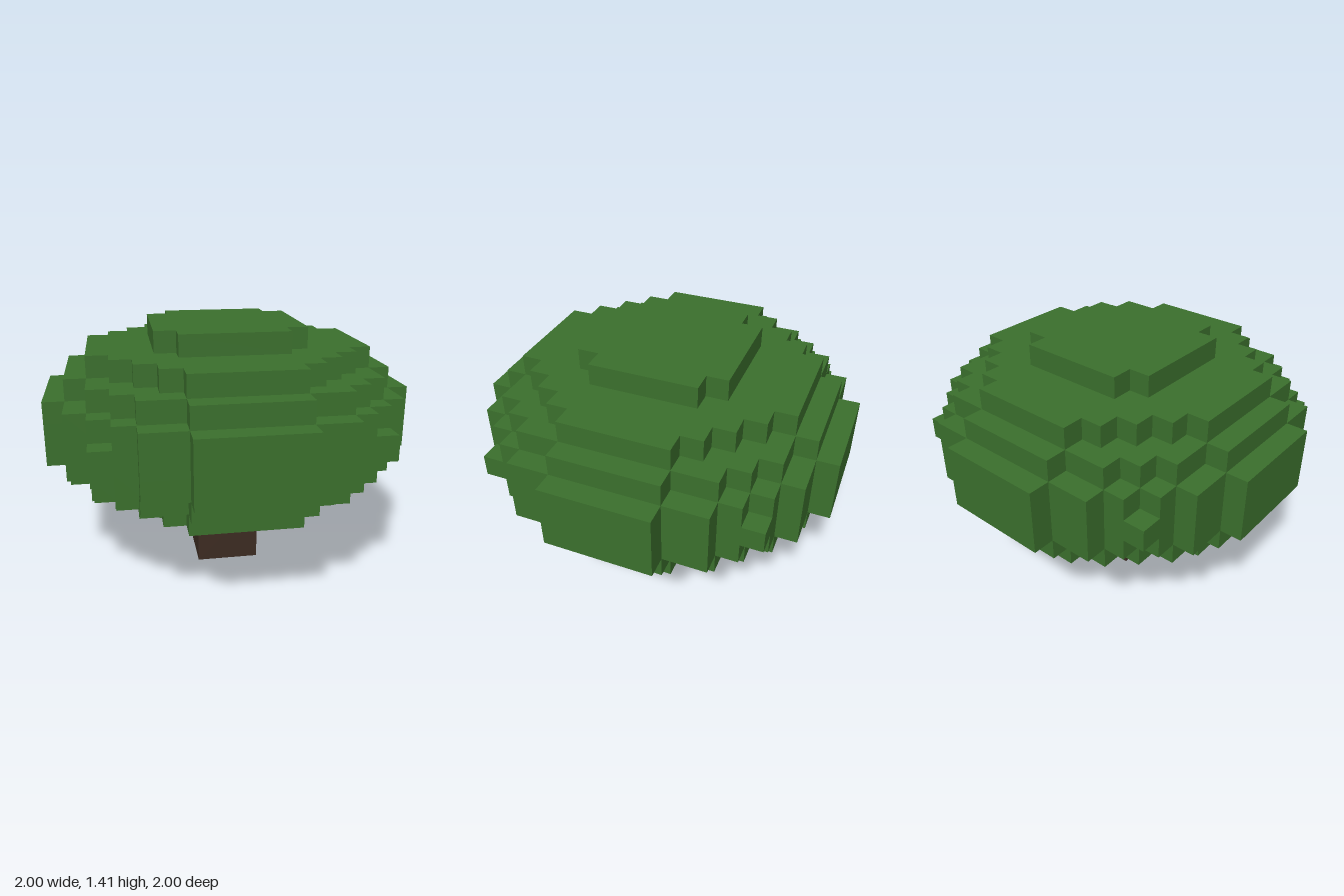
import * as THREE from 'three';

const V = 2 / 17;        // edge of one block
const RADIUS = 8.5;      // crown half width, in blocks
const HALF_HEIGHT = 4.5; // crown half height, in blocks
const TRUNK = 3;         // trunk width and height, in blocks

// Stepped outline of all blocks whose centres lie within the squared radius
function steppedOutline(limit) {
  const rows = Math.floor(Math.sqrt(limit));
  const side = [];
  for (let k = -rows; k <= rows; k++) {
    const w = (Math.floor(Math.sqrt(limit - k * k)) + 0.5) * V;
    const last = side[side.length - 1];
    if (last && last.x === w) last.y = (k + 0.5) * V; // lengthen a straight run
    else side.push(new THREE.Vector2(w, (k - 0.5) * V), new THREE.Vector2(w, (k + 0.5) * V));
  }
  const mirrored = side.map((p) => new THREE.Vector2(-p.x, p.y)).reverse();
  return new THREE.Shape([...side, ...mirrored]);
}

export function createModel() {
  const leafGreen = new THREE.MeshStandardMaterial({ color: 0x3b702d });
  leafGreen.name = 'leafGreen';
  const barkBrown = new THREE.MeshStandardMaterial({ color: 0x3d2c22 });
  barkBrown.name = 'barkBrown';

  const tree = new THREE.Group();
  tree.name = 'tree';

  // Trunk
  const trunk = new THREE.Mesh(new THREE.BoxGeometry(TRUNK * V, TRUNK * V, TRUNK * V), barkBrown);
  trunk.name = 'trunk';
  trunk.position.y = (TRUNK * V) / 2;
  tree.add(trunk);

  // Crown: one-block slices of a flattened sphere
  const crown = new THREE.Group();
  crown.name = 'crown';
  crown.position.y = (TRUNK + HALF_HEIGHT) * V;
  for (let j = -4; j <= 4; j++) {
    const limit = RADIUS ** 2 * (1 - (j / HALF_HEIGHT) ** 2);
    const geometry = new THREE.ExtrudeGeometry(steppedOutline(limit), { depth: V, bevelEnabled: false });
    geometry.rotateX(-Math.PI / 2);
    const layer = new THREE.Mesh(geometry, leafGreen);
    layer.name = `leafLayer${j + 5}`;
    layer.position.y = (j - 0.5) * V;
    crown.add(layer);
  }
  tree.add(crown);

  return tree;
}
